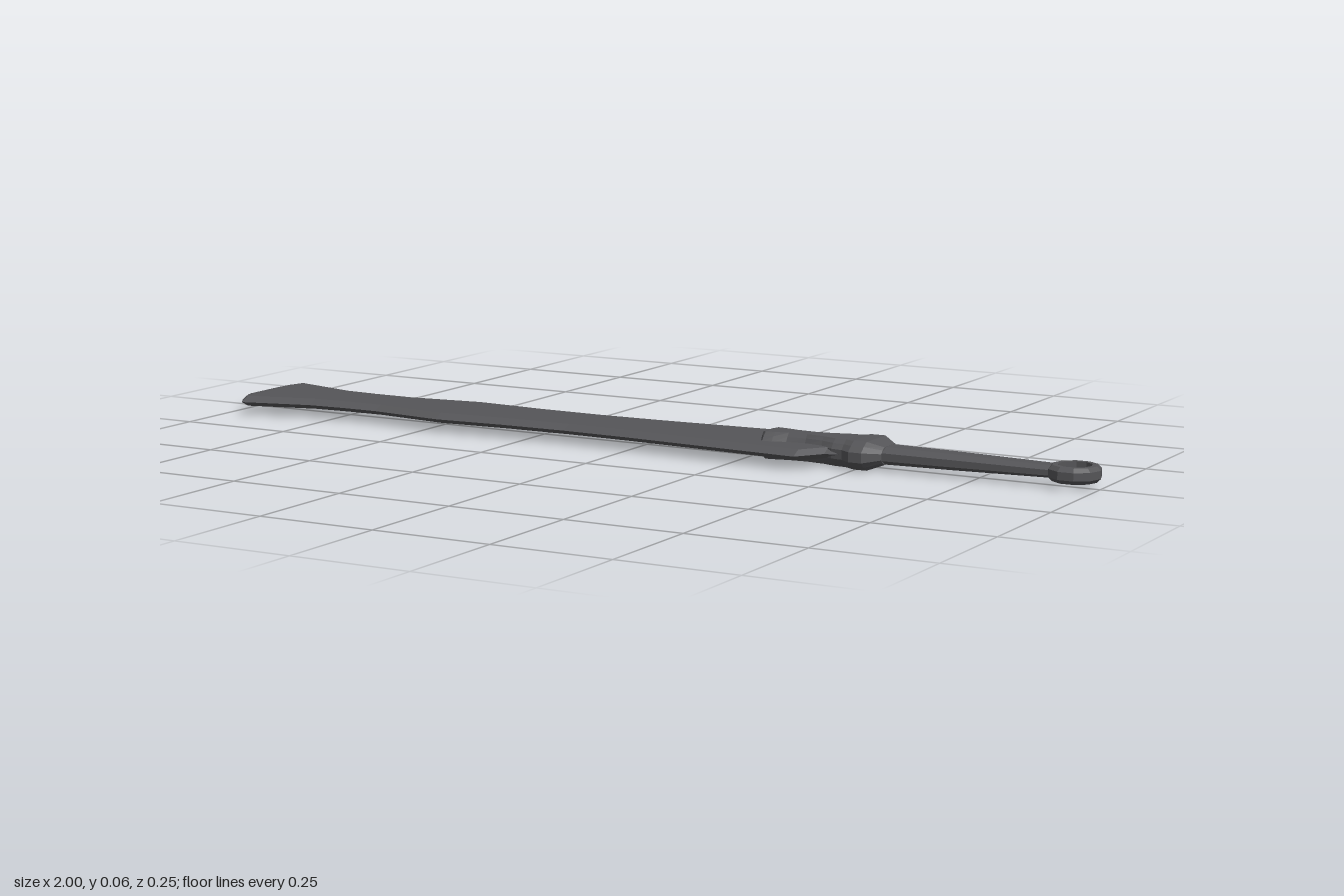
import * as THREE from 'three';

const MID = 0.03; // height of the sword's flat centre plane

// Skin a row of cross-sections; each is { x, pts: [[z, y], ...] } going from +z towards +y.
function loft(sections) {
  const pos = [], idx = [], n = sections[0].pts.length;
  for (const s of sections) for (const [z, y] of s.pts) pos.push(s.x, y + MID, z);
  for (let i = 0; i < sections.length - 1; i++) {
    for (let j = 0; j < n; j++) {
      const k = (j + 1) % n, a = i * n, b = a + n;
      idx.push(a + j, b + j, b + k, a + j, b + k, a + k);
    }
  }
  const last = (sections.length - 1) * n;
  for (let j = 1; j < n - 1; j++) {
    idx.push(0, j, j + 1, last, last + j + 1, last + j);
  }
  const g = new THREE.BufferGeometry();
  g.setAttribute('position', new THREE.Float32BufferAttribute(pos, 3));
  g.setIndex(idx);
  const flat = g.toNonIndexed();
  flat.computeVertexNormals();
  return flat;
}

// Mirror one quarter of a section, listed from the side to the top, into a full loop.
function mirrorQuarter(q) {
  const top = [...q, ...q.slice().reverse().map(([z, y]) => [-z, y])];
  const bottom = top.slice().reverse().map(([z, y]) => [z, -y]);
  return [...top, ...bottom].filter(([z, y], i, all) => {
    const [pz, py] = all[(i + all.length - 1) % all.length];
    return z !== pz || Math.abs(y - py) > 1e-9;
  });
}

export function createModel() {
  const steel = new THREE.MeshStandardMaterial({ color: 0x555558, flatShading: true });
  steel.name = 'darkSteel';
  const group = new THREE.Group();
  const add = (name, geometry) => {
    const mesh = new THREE.Mesh(geometry, steel);
    mesh.name = name;
    group.add(mesh);
    return mesh;
  };

  // Blade: [x, half width, half thickness], with bevelled cutting edges
  const bladeStations = [
    [-1, 0.02, 0.001], [-0.99, 0.064, 0.005], [-0.972, 0.097, 0.009], [-0.953, 0.125, 0.011],
    [-0.8, 0.085, 0.011], [-0.72, 0.08, 0.011], [-0.63, 0.079, 0.011], [-0.46, 0.101, 0.011],
    [-0.3, 0.09, 0.011], [-0.15, 0.087, 0.011], [0, 0.092, 0.011], [0.2, 0.105, 0.011],
    [0.4, 0.118, 0.011], [0.44, 0.062, 0.011], [0.48, 0.05, 0.011],
  ];
  add('blade', loft(bladeStations.map(([x, w, t]) => ({
    x, pts: mirrorQuarter([[w, 0], [Math.max(w - 0.022, w * 0.6), t]]),
  }))));

  // Guard: flared tongue over the blade, swelling into a collar
  const guardStations = [
    [0.282, 0.03, 0.026], [0.292, 0.046, 0.028], [0.312, 0.042, 0.028], [0.34, 0.032, 0.028],
    [0.38, 0.027, 0.028], [0.42, 0.035, 0.028], [0.45, 0.05, 0.028], [0.475, 0.054, 0.028],
    [0.497, 0.07, 0.029], [0.525, 0.07, 0.029], [0.555, 0.04, 0.018],
  ];
  add('guard', loft(guardStations.map(([x, w, h]) => ({
    x, pts: mirrorQuarter([[w, h * 0.35], [w * 0.82, h * 0.72], [w * 0.62, h]]),
  }))));

  // Grip: chamfered bar narrowing towards the pommel
  add('grip', loft([[0.53, 0.038, 0.018], [0.7, 0.034, 0.016], [0.91, 0.029, 0.012]].map(([x, w, h]) => ({
    x, pts: mirrorQuarter([[w, h * 0.45], [w * 0.5, h]]),
  }))));

  // Pommel: faceted ring with chamfered outer rims
  const rim = [[0.034, -0.016], [0.045, -0.016], [0.053, -0.008], [0.053, 0.008],
    [0.045, 0.016], [0.034, 0.016], [0.034, -0.016]].map(([r, y]) => new THREE.Vector2(r, y));
  const ring = add('pommelRing', new THREE.LatheGeometry(rim, 10, Math.PI / 10));
  ring.position.set(0.948, MID, 0);

  return group;
}
